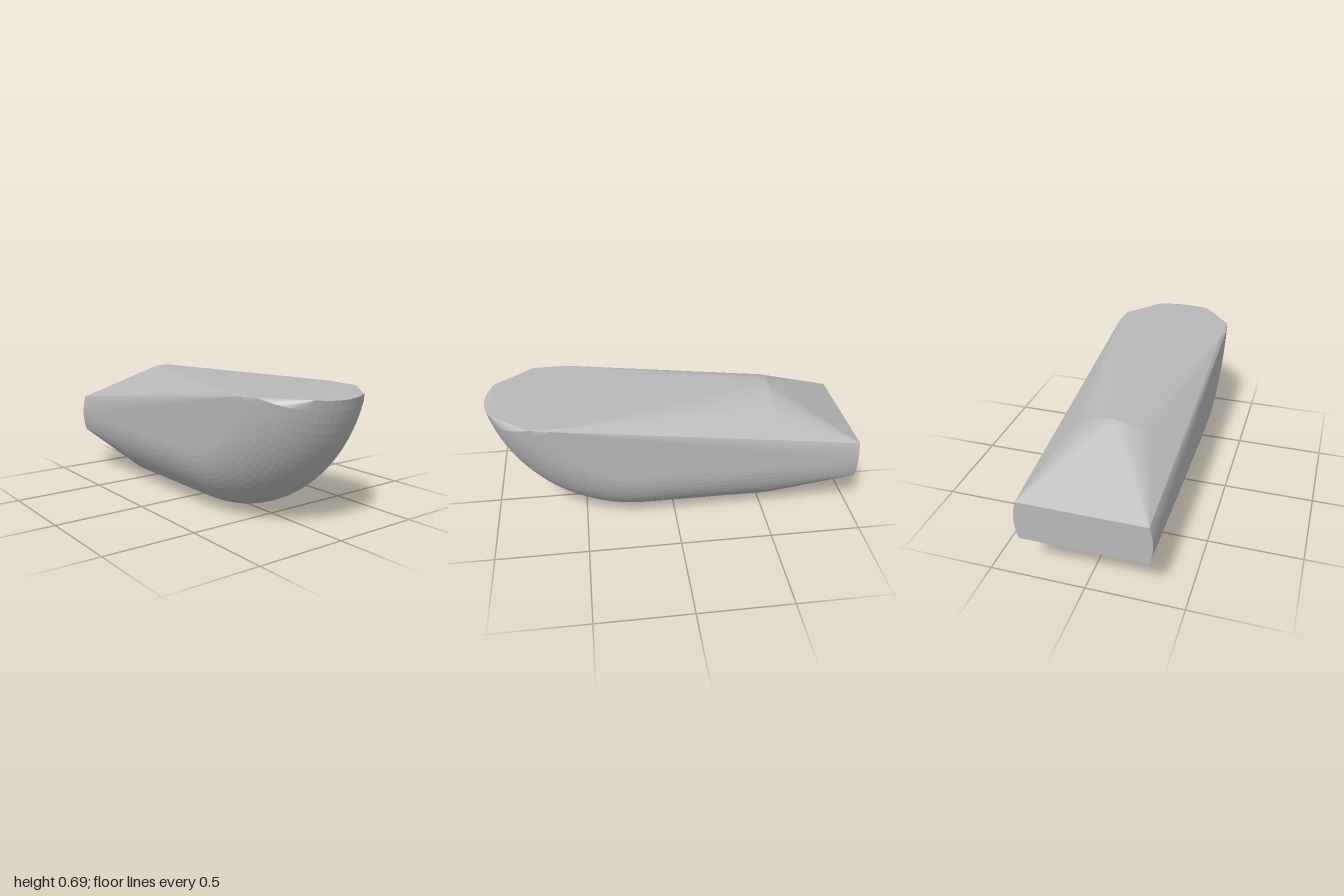
import * as THREE from 'three';
import { ConvexGeometry } from 'three/addons/geometries/ConvexGeometry.js';

const R = 0.341;                 // radius of the round section
const SEG = 64;                  // sides of the round section
const BEND = 0.847;              // outer radius of the nose bend
const BEND_Z = 0.17;             // where the bend starts
const TOP = 0.688;               // level of the flat deck

export function createModel() {
  const group = new THREE.Group();
  group.name = 'roundedHull';
  const grey = new THREE.MeshStandardMaterial({ color: 0xb8b8b8 });
  grey.name = 'plain grey';

  const points = [];
  const add = (x, y, z) => points.push(new THREE.Vector3(x, y, z));

  // upturned nose: round sections swept along a bend, trimmed at the deck
  const start = THREE.MathUtils.degToRad(11.6);
  for (let i = 0; i <= 20; i++) {
    const a = start + (Math.PI / 2 - start) * i / 20;
    for (let k = 0; k < SEG; k++) {
      const p = k / SEG * Math.PI * 2;
      const d = BEND - R + R * Math.cos(p);
      const y = BEND - d * Math.sin(a);
      if (y <= TOP) add(R * Math.sin(p), y, BEND_Z + d * Math.cos(a));
    }
  }

  // full round section where the tail begins to taper
  for (let k = 0; k < SEG; k++) {
    const p = k / SEG * Math.PI * 2;
    add(R * Math.sin(p), 0.343 - 0.343 * Math.cos(p), -0.54);
  }

  // blunt tail end: the same section cut flat above and below
  const half = Math.asin(0.108 / R);
  for (let k = 0; k <= 8; k++) {
    const p = half * (k / 4 - 1);
    for (const s of [-1, 1]) add(s * R * Math.cos(p), 0.346 + R * Math.sin(p), -1);
  }

  const hull = new THREE.Mesh(new ConvexGeometry(points), grey);
  hull.name = 'hull';
  group.add(hull);
  return group;
}
